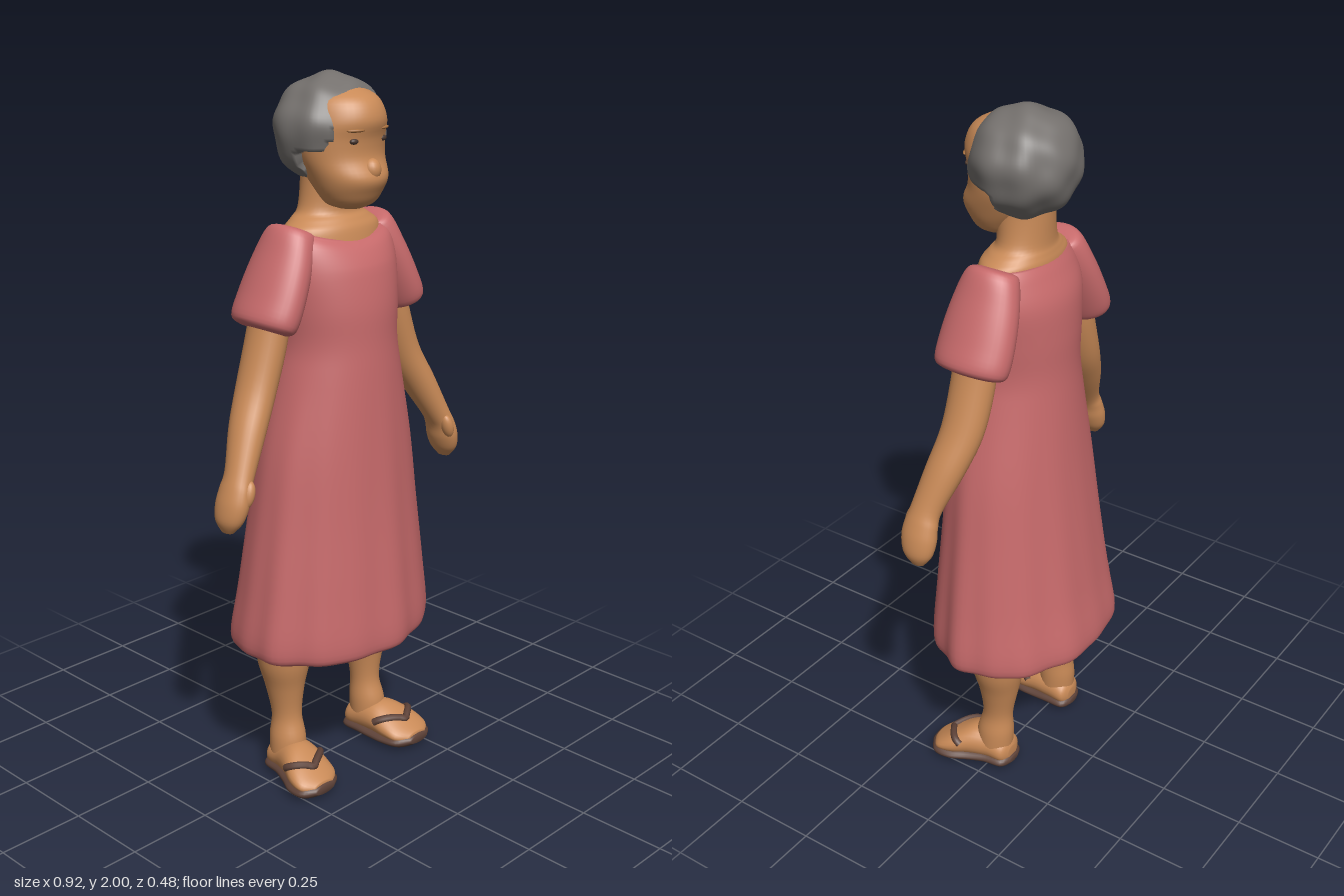
import * as THREE from 'three';
import { mergeVertices } from 'three/addons/utils/BufferGeometryUtils.js';

const material = (name, color) => {
  const m = new THREE.MeshStandardMaterial({ color });
  m.name = name;
  return m;
};

// Smooth interpolation through a list of sections [x, y, z, halfWidth, halfDepth, tilt]
function sectionAt(sections, u) {
  const last = sections.length - 1;
  const f = Math.min(Math.max(u, 0), 1) * last;
  const i = Math.min(Math.floor(f), last - 1);
  const t = f - i;
  const get = (k, c) => sections[Math.min(Math.max(k, 0), last)][c] ?? 0;
  return [0, 1, 2, 3, 4, 5].map((c) => {
    const [a, b, d, e] = [get(i - 1, c), get(i, c), get(i + 1, c), get(i + 2, c)];
    return b + 0.5 * t * (d - a + t * (2 * a - 5 * b + 4 * d - e + t * (3 * (b - d) + e - a)));
  });
}

function ringPoint([x, y, z, a, b, tilt], angle) {
  const w = a * Math.cos(angle);
  return new THREE.Vector3(x + w * Math.cos(tilt), y + w * Math.sin(tilt), z + b * Math.sin(angle));
}

// Closed smooth body made from elliptical cross-sections
function loft(sections, { sides = 40, steps = 5, warp } = {}) {
  const rows = (sections.length - 1) * steps;
  const pos = [], index = [];
  const add = (p, angle) => {
    if (warp) warp(p, angle);
    return pos.push(p.x, p.y, p.z) / 3 - 1;
  };
  for (let r = 0; r <= rows; r++) {
    const s = sectionAt(sections, r / rows);
    for (let j = 0; j < sides; j++) {
      const angle = (j / sides) * Math.PI * 2;
      add(ringPoint(s, angle), angle);
    }
  }
  const ends = [0, 1].map((u) => add(new THREE.Vector3(...sectionAt(sections, u).slice(0, 3)), 0));
  for (let j = 0; j < sides; j++) {
    const k = (j + 1) % sides;
    for (let r = 0; r < rows; r++) {
      const a = r * sides + j, b = r * sides + k, c = a + sides, d = b + sides;
      index.push(a, c, b, b, c, d);
    }
    index.push(ends[0], j, k, ends[1], rows * sides + k, rows * sides + j);
  }
  // Turn the faces outward whichever way the sections run
  const v = (i) => new THREE.Vector3().fromArray(pos, i * 3);
  let volume = 0;
  for (let i = 0; i < index.length; i += 3) {
    volume += v(index[i]).dot(v(index[i + 1]).cross(v(index[i + 2])));
  }
  if (volume < 0) index.reverse();
  const g = new THREE.BufferGeometry();
  g.setAttribute('position', new THREE.Float32BufferAttribute(pos, 3));
  g.setIndex(index);
  g.computeVertexNormals();
  return g;
}

const mirrored = (sections, s) => sections.map(([x, y, z, a, b, t = 0]) => [x * s, y, z, a, b, t * s]);

export function createModel() {
  const skin = material('skin', 0xc98a57);
  const pink = material('dressPink', 0xc76a6b);
  const grey = material('hairGrey', 0x74706d);
  const brown = material('sandalBrown', 0x5e4238);
  const dark = material('eyeDark', 0x4a3830);
  const browTone = material('browBrown', 0xa8703f);

  const model = new THREE.Group();
  model.name = 'woman';
  const add = (name, geometry, mat, parent = model) => {
    const mesh = new THREE.Mesh(geometry, mat);
    mesh.name = name;
    parent.add(mesh);
    return mesh;
  };
  const blob = (name, mat, p, r) => {
    const mesh = add(name, new THREE.SphereGeometry(1, 20, 14), mat);
    mesh.position.set(...p);
    mesh.scale.set(...r);
    return mesh;
  };

  // Dress with folds growing toward the hem and a neckline dipping at the front
  add('dress', loft([
    [0, 0.385, 0, 0.12, 0.08], [0, 0.393, 0, 0.22, 0.16], [0, 0.41, 0, 0.29, 0.22],
    [0, 0.45, 0, 0.318, 0.24], [0, 0.6, 0.007, 0.3, 0.222], [0, 0.8, 0.012, 0.272, 0.2],
    [0, 1.0, 0.017, 0.243, 0.182], [0, 1.2, 0.02, 0.198, 0.167], [0, 1.3, 0.02, 0.18, 0.16],
    [0, 1.4, 0.018, 0.188, 0.157], [0, 1.5, 0.012, 0.198, 0.143], [0, 1.57, 0.012, 0.188, 0.116],
    [0, 1.605, 0.008, 0.162, 0.094],
  ], {
    sides: 96,
    warp: (p, angle) => {
      const k = THREE.MathUtils.clamp((1.25 - p.y) / 0.8, 0, 1);
      const fold = 1 + 0.016 * k * (Math.sin(9 * angle + 1) + 0.7 * Math.sin(14 * angle));
      p.x *= fold;
      p.z *= fold;
      const t = THREE.MathUtils.clamp((p.y - 1.5) / 0.1, 0, 1);
      if (p.z > 0) p.y -= 0.03 * t * Math.max(0, 1 - (p.x / 0.16) ** 2);
    },
  }), pink);

  // Neck and bare collar
  add('neck', loft([
    [0, 1.55, 0.01, 0.155, 0.1], [0, 1.6, 0.005, 0.155, 0.093], [0, 1.625, 0, 0.125, 0.082],
    [0, 1.65, -0.005, 0.095, 0.072], [0, 1.72, -0.002, 0.082, 0.076], [0, 1.78, 0, 0.08, 0.08],
  ]), skin);

  // Head
  add('head', loft([
    [0, 1.655, 0.07, 0.03, 0.035], [0, 1.67, 0.072, 0.068, 0.065], [0, 1.7, 0.07, 0.09, 0.088],
    [0, 1.74, 0.062, 0.106, 0.112], [0, 1.79, 0.042, 0.12, 0.11], [0, 1.84, 0.03, 0.125, 0.123],
    [0, 1.89, 0.025, 0.12, 0.14], [0, 1.94, 0.02, 0.1, 0.122], [0, 1.97, 0.01, 0.055, 0.075],
  ], { sides: 48 }), skin);
  blob('nose', skin, [0, 1.762, 0.15], [0.026, 0.03, 0.026]);

  // Lumpy short hair, drawn in around the face
  const hair = new THREE.SphereGeometry(1, 72, 52);
  hair.deleteAttribute('uv');
  hair.deleteAttribute('normal');
  const hairGeo = mergeVertices(hair, 1e-4);
  const hp = hairGeo.attributes.position;
  for (let i = 0; i < hp.count; i++) {
    const p = new THREE.Vector3().fromBufferAttribute(hp, i);
    const lump = 1 + 0.022 * Math.sin(7 * p.x + 1) * Math.sin(8 * p.y) + 0.018 * Math.sin(9 * p.z + 5 * p.x + 2);
    p.multiply(new THREE.Vector3(0.155, 0.144, 0.147)).multiplyScalar(lump);
    const window = p.z > 0.02 && (p.x / 0.1) ** 2 + ((p.y + 0.06) / 0.155) ** 2 < 1;
    const cheek = p.z > 0.02 && p.y < -0.05;
    if (window || cheek) p.multiplyScalar(0.8);
    hp.setXYZ(i, p.x, p.y + 1.855, p.z - 0.002);
  }
  hairGeo.computeVertexNormals();
  add('hair', hairGeo, grey);

  for (const s of [1, -1]) {
    const side = s > 0 ? 'left' : 'right';

    // Eye and brow
    blob(side + 'Eye', dark, [0.053 * s, 1.838, 0.138], [0.014, 0.008, 0.009]);
    blob(side + 'Brow', browTone, [0.053 * s, 1.866, 0.144], [0.026, 0.005, 0.009]).rotation.y = 0.4 * s;

    // Sleeve
    add(side + 'Sleeve', loft(mirrored([
      [0.125, 1.6, 0, 0.03, 0.05, 0.5], [0.145, 1.593, 0, 0.055, 0.075, 0.5],
      [0.18, 1.52, 0, 0.062, 0.098, 0.5], [0.222, 1.43, 0, 0.066, 0.11, 0.45],
      [0.25, 1.37, 0, 0.066, 0.106, 0.4], [0.25, 1.352, 0, 0.045, 0.075, 0.4],
    ], s)), pink);

    // Arm, hand and thumb
    add(side + 'Arm', loft(mirrored([
      [0.22, 1.42, 0, 0.05, 0.06, 0.5], [0.242, 1.32, 0, 0.052, 0.062, 0.4],
      [0.285, 1.2, 0.005, 0.05, 0.06, 0.4], [0.338, 1.1, 0.025, 0.046, 0.055, 0.4],
      [0.39, 1.0, 0.05, 0.036, 0.045, 0.4], [0.41, 0.96, 0.054, 0.034, 0.05, 0.3],
      [0.422, 0.92, 0.054, 0.036, 0.053, 0.2], [0.432, 0.88, 0.052, 0.03, 0.044, 0.1],
      [0.436, 0.85, 0.05, 0.012, 0.02, 0],
    ], s), { sides: 28 }), skin);
    blob(side + 'Thumb', skin, [0.4 * s, 0.955, 0.092], [0.018, 0.038, 0.02]).rotation.z = 0.3 * s;

    // Leg
    add(side + 'Leg', loft(mirrored([
      [0.17, 0.46, -0.02, 0.085, 0.085], [0.17, 0.36, -0.02, 0.075, 0.077],
      [0.167, 0.28, -0.02, 0.055, 0.06], [0.165, 0.19, -0.015, 0.042, 0.046],
      [0.168, 0.12, -0.008, 0.05, 0.056], [0.17, 0.05, -0.005, 0.05, 0.055],
    ], s), { sides: 28 }), skin);

    // Foot, sole and strap are shaped along their length, then laid forward
    const foot = new THREE.Group();
    foot.name = side + 'Foot';
    foot.rotation.x = Math.PI / 2;
    model.add(foot);
    const footSections = mirrored([
      [0.165, -0.066, -0.05, 0.02, 0.02], [0.166, -0.05, -0.055, 0.048, 0.04],
      [0.17, 0, -0.064, 0.054, 0.05], [0.18, 0.05, -0.066, 0.064, 0.052],
      [0.192, 0.1, -0.054, 0.075, 0.042], [0.198, 0.145, -0.042, 0.07, 0.026],
      [0.2, 0.172, -0.036, 0.035, 0.014],
    ], s);
    add(side + 'FootSkin', loft(footSections, { sides: 28 }), skin, foot);
    add(side + 'Sole', loft(mirrored([
      [0.165, -0.072, -0.026, 0.02, 0.008], [0.166, -0.054, -0.026, 0.052, 0.02],
      [0.17, 0, -0.026, 0.058, 0.022], [0.18, 0.05, -0.024, 0.068, 0.022],
      [0.193, 0.1, -0.024, 0.08, 0.023], [0.199, 0.15, -0.026, 0.074, 0.024],
      [0.201, 0.18, -0.03, 0.035, 0.012],
    ], s), { sides: 28 }), brown, foot);

    // V-shaped strap hugging the foot
    const strap = [];
    for (let i = -6; i <= 6; i++) {
      const u = Math.abs(i) / 6;
      const section = sectionAt(footSections, 0.76 - 0.2 * u);
      strap.push(ringPoint(section, -Math.PI / 2 + (i / 6) * 1.35));
    }
    add(side + 'Strap', new THREE.TubeGeometry(new THREE.CatmullRomCurve3(strap), 36, 0.011, 8), brown, foot);
  }
  return model;
}
